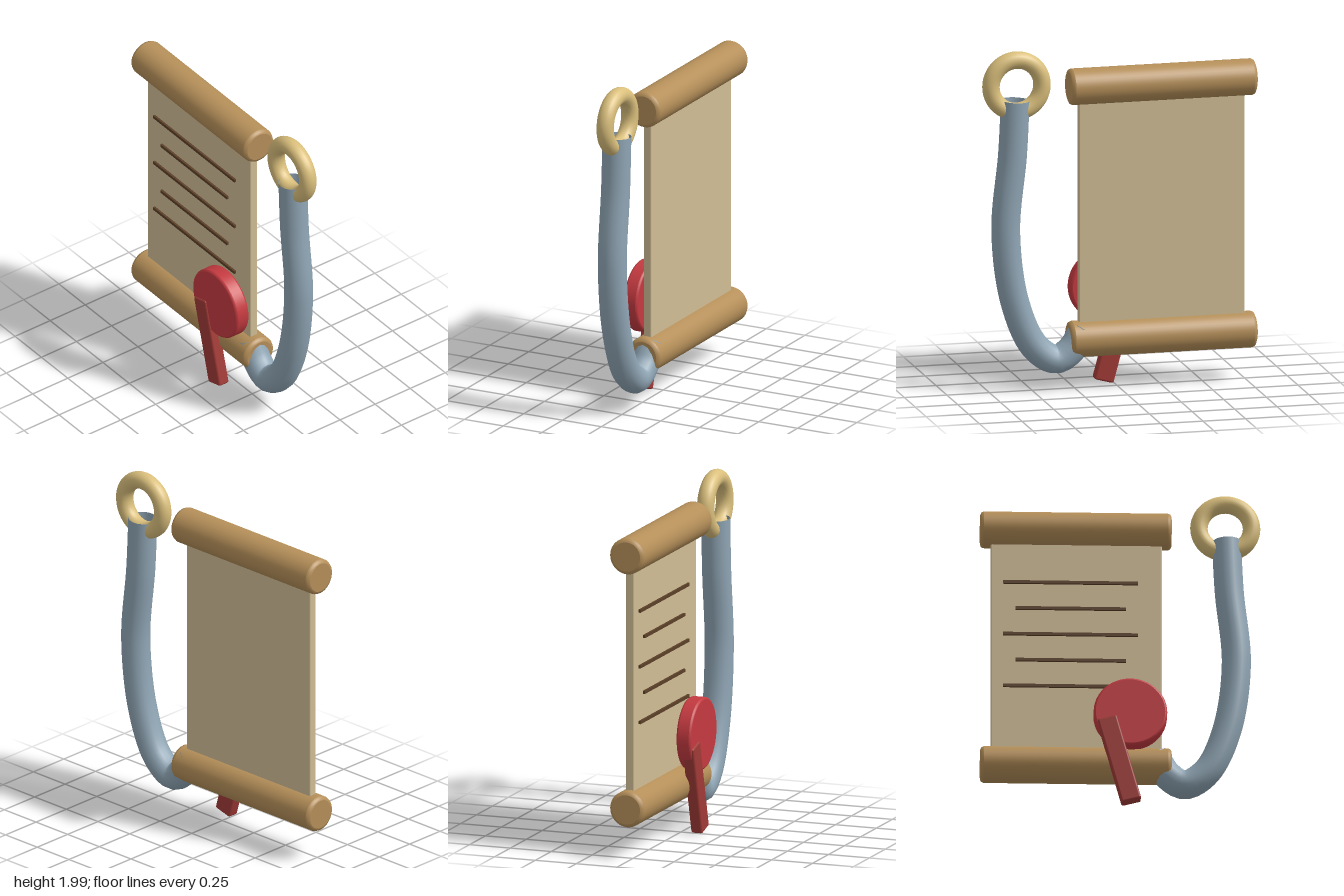
import * as THREE from 'three';
import { RoundedBoxGeometry } from 'three/addons/geometries/RoundedBoxGeometry.js';

const MID_Z = -0.023; // depth of the scroll's central plane

function material(name, color, side = THREE.FrontSide) {
  const m = new THREE.MeshStandardMaterial({ color, side });
  m.name = name;
  return m;
}

// Cylinder along y, with bevelled rims; doubled profile points keep the edges crisp
function bevelledCylinder(radius, length, bevel, segments) {
  const h = length / 2;
  const a = [radius - bevel, -h];
  const b = [radius - bevel * 0.3, -h + bevel * 0.3];
  const c = [radius, -h + bevel];
  const lower = [[0, -h], a, a, b, c, c];
  const upper = lower.map(([x, y]) => [x, -y]).reverse();
  const profile = [...lower, ...upper].map(([x, y]) => new THREE.Vector2(x, y));
  return new THREE.LatheGeometry(profile, segments);
}

export function createModel() {
  const model = new THREE.Group();
  model.name = 'scrollWithSealAndCord';

  const wood = material('rodBrown', 0xb58f59);
  const parchment = material('parchment', 0xd0bd95);
  const ink = material('inkBrown', 0x5c4028);
  const wax = material('waxRed', 0xc43a40);
  const ribbon = material('ribbonRed', 0xa03a36);
  const cordBlue = material('cordBlueGrey', 0x8fa5b4, THREE.DoubleSide);
  const gold = material('ringGold', 0xdabf7c);

  const add = (name, geometry, mat, x, y, z) => {
    const mesh = new THREE.Mesh(geometry, mat);
    mesh.name = name;
    mesh.position.set(x, y, z);
    model.add(mesh);
    return mesh;
  };

  // Rods at the top and bottom of the sheet
  const rodGeometry = bevelledCylinder(0.105, 1.09, 0.02, 40).rotateZ(Math.PI / 2);
  add('topRod', rodGeometry, wood, -0.255, 1.775, MID_Z);
  add('bottomRod', rodGeometry, wood, -0.255, 0.3, MID_Z);

  // Sheet
  add('sheet', new RoundedBoxGeometry(0.975, 1.44, 0.05, 2, 0.007), parchment, -0.2525, 1.04, MID_Z);

  // Written lines, alternately long and short
  for (let i = 0; i < 5; i++) {
    const width = i % 2 ? 0.63 : 0.77;
    add(`writtenLine${i + 1}`, new THREE.BoxGeometry(width, 0.018, 0.018), ink, -0.285, 1.435 - i * 0.1625, 0.006);
  }

  // Wax seal and its hanging ribbon
  add('waxSeal', bevelledCylinder(0.21, 0.09, 0.012, 48).rotateX(Math.PI / 2), wax, 0.053, 0.581, 0.075);
  const tail = add('sealRibbon', new RoundedBoxGeometry(0.115, 0.54, 0.07, 2, 0.012), ribbon, -0.011, 0.282, 0.095);
  tail.rotation.z = 0.264;

  // Cord sweeping from the ring down to the lower rod
  const path = new THREE.CatmullRomCurve3(
    [[0.604, 1.715], [0.62, 1.4], [0.66, 0.95], [0.605, 0.53], [0.49, 0.27], [0.365, 0.188], [0.27, 0.245], [0.2, 0.36]]
      .map(([x, y]) => new THREE.Vector3(x, y, 0)), false, 'centripetal');
  add('cord', new THREE.TubeGeometry(path, 64, 0.083, 16, false), cordBlue, 0, 0, MID_Z);

  // Ring at the top of the cord
  add('ring', new THREE.TorusGeometry(0.15, 0.05, 20, 48), gold, 0.597, 1.8, MID_Z);

  return model;
}
